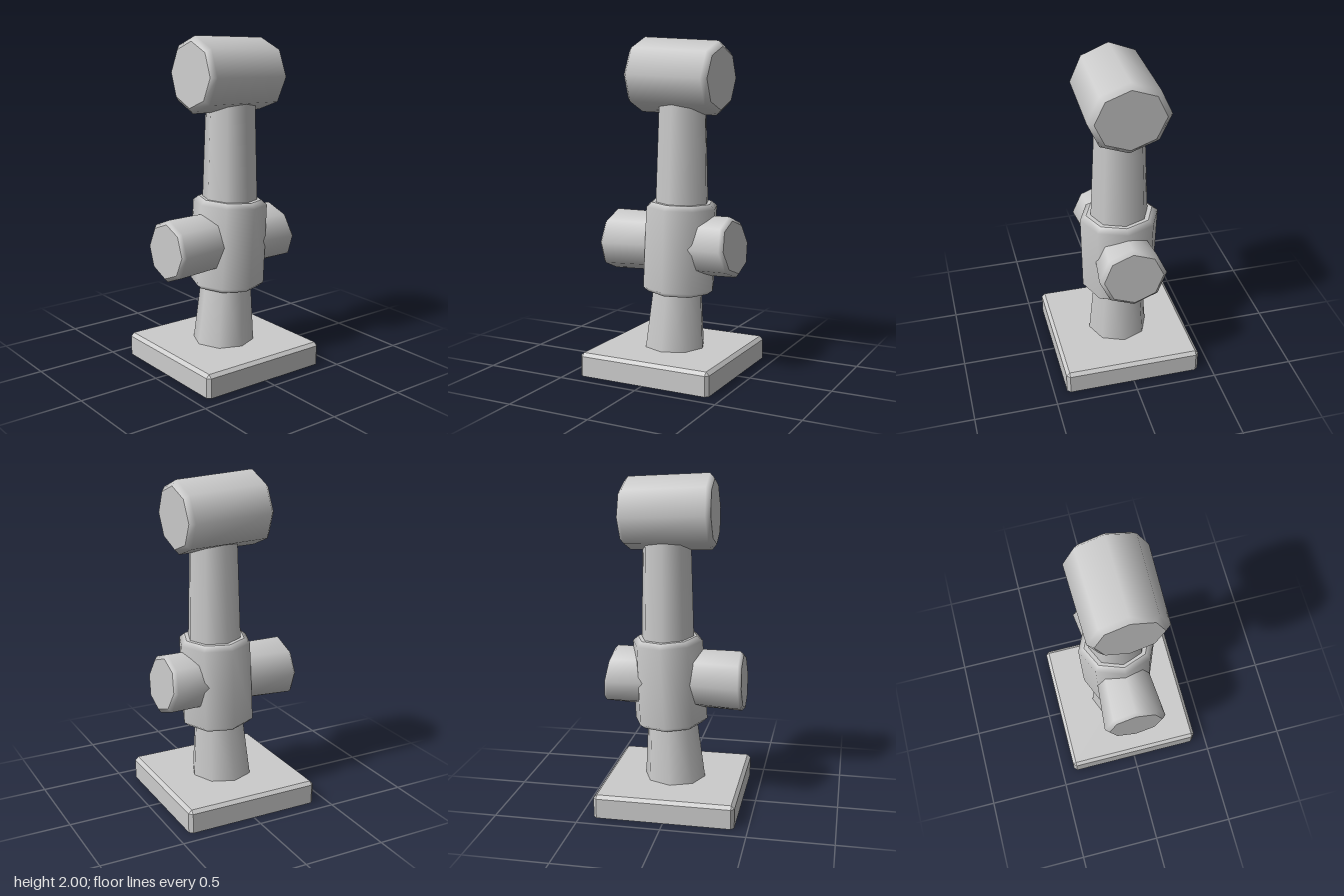
import * as THREE from 'three';
import { ConvexGeometry } from 'three/addons/geometries/ConvexGeometry.js';

const SIDES = 8;

// Smooth eight-sided limb from a to b. r0 and r1 are the [in-plane, depth] radii
// of its ends, bevel the chamfer at both ends, tilt slants the far end.
function limb(name, material, a, b, r0, r1, bevel = 0, tilt = 0) {
  const start = new THREE.Vector3(...a);
  const axis = new THREE.Vector3(...b).sub(start);
  const length = axis.length();
  const p = (x, y) => new THREE.Vector2(x, y);

  // Doubled points keep the flat caps crisp.
  const in0 = r0[0] - bevel * 1.2;
  const in1 = r1[0] - bevel * 1.2;
  const profile = [p(0, 0), p(in0, 0), p(in0, 0)];
  if (bevel) profile.push(p(r0[0], bevel), p(r1[0], length - bevel));
  profile.push(p(in1, length), p(in1, length), p(0, length));

  const geometry = new THREE.LatheGeometry(profile, SIDES);
  const pos = geometry.attributes.position;
  for (let i = 0; i < pos.count; i++) {
    const t = pos.getY(i) / length;
    pos.setZ(i, pos.getZ(i) * THREE.MathUtils.lerp(r0[1] / r0[0], r1[1] / r1[0], t));
    pos.setY(i, pos.getY(i) + t * tilt * pos.getX(i));
  }

  const mesh = new THREE.Mesh(geometry, material);
  mesh.name = name;
  mesh.position.copy(start);
  mesh.quaternion.setFromUnitVectors(new THREE.Vector3(0, 1, 0), axis.normalize());
  return mesh;
}

// Square slab with chamfered top and upright edges and a sharp underside.
function slab(name, material, half, height, chamfer) {
  const points = [];
  const inner = half - chamfer;
  for (const sx of [-1, 1]) {
    for (const sz of [-1, 1]) {
      points.push(new THREE.Vector3(sx * inner, height, sz * inner));
      for (const y of [0, height - chamfer]) {
        points.push(new THREE.Vector3(sx * half, y, sz * inner));
        points.push(new THREE.Vector3(sx * inner, y, sz * half));
      }
    }
  }
  const mesh = new THREE.Mesh(new ConvexGeometry(points), material);
  mesh.name = name;
  return mesh;
}

export function createModel() {
  const grey = new THREE.MeshStandardMaterial({ color: 0xcccccc });
  grey.name = 'plain grey';

  const model = new THREE.Group();
  model.name = 'post';
  model.add(
    slab('base', grey, 0.42, 0.14, 0.02),
    // Upright parts
    limb('lowerColumn', grey, [0.002, 0.1, 0], [0.024, 0.56, 0], [0.19, 0.188], [0.148, 0.15]),
    limb('hub', grey, [0.028, 0.483, 0], [0.052, 1.026, 0], [0.224, 0.224], [0.214, 0.24], 0.028),
    limb('upperColumn', grey, [0.05, 0.96, 0], [0.055, 1.68, 0], [0.161, 0.177], [0.143, 0.146]),
    // Crosswise parts
    limb('rightArm', grey, [-0.05, 0.775, 0], [-0.418, 0.767, 0], [0.18, 0.16], [0.186, 0.192], 0.02, -0.07),
    limb('leftArm', grey, [0.1, 0.769, 0], [0.4, 0.776, 0], [0.183, 0.165], [0.179, 0.206], 0.02, 0.12),
    limb('head', grey, [-0.233, 1.777, 0], [0.305, 1.754, 0], [0.222, 0.224], [0.214, 0.24], 0.027, 0.015),
  );
  return model;
}
